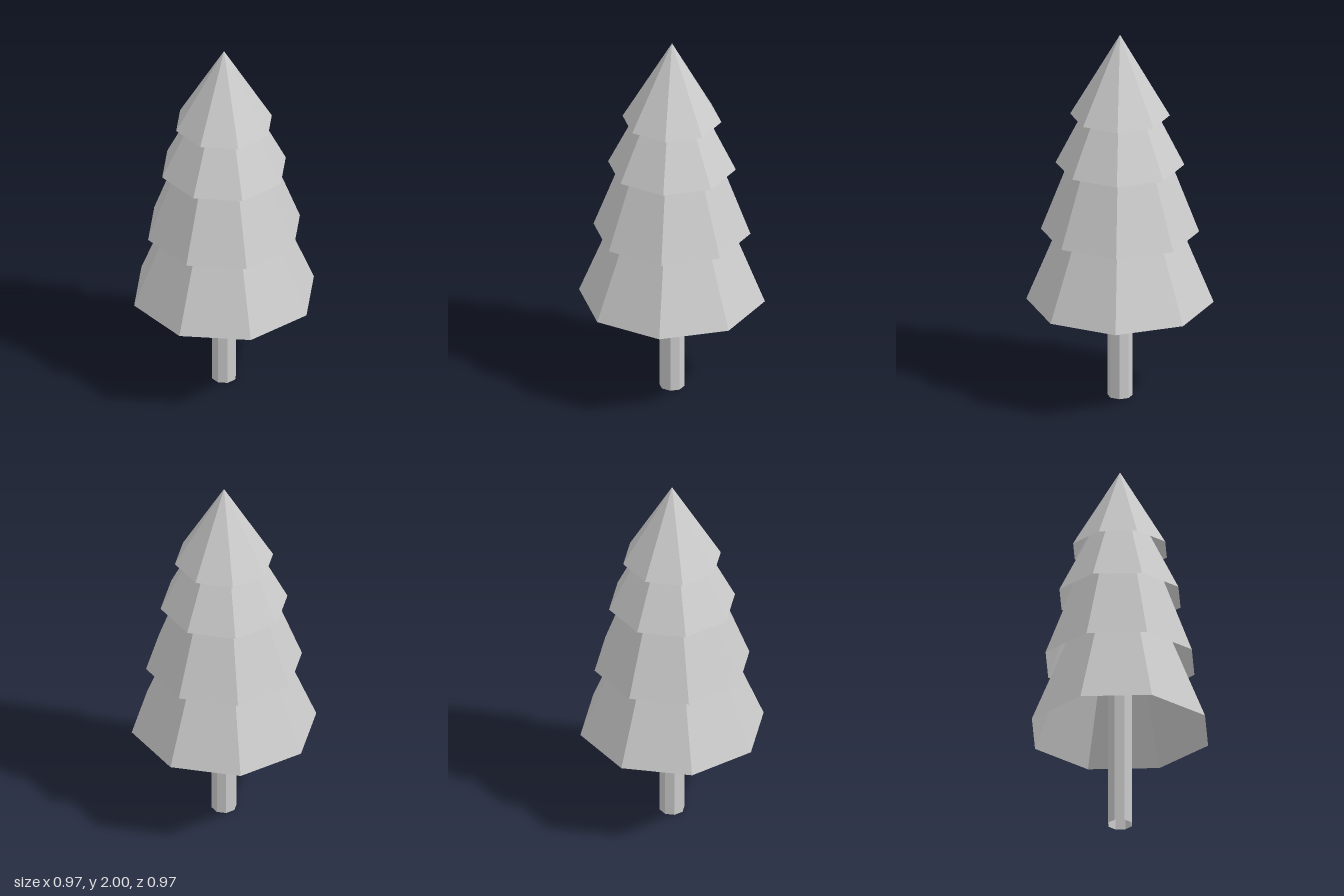
import * as THREE from 'three';

const SIDES = 8;

export function createModel() {
  const group = new THREE.Group();
  const material = new THREE.MeshStandardMaterial({
    color: 0xcccccc,
    flatShading: true,
    side: THREE.DoubleSide,
  });

  // Open eight-sided solid standing on the height "bottom"
  function addPart(name, topRadius, bottomRadius, bottom, top) {
    const height = top - bottom;
    const geometry = new THREE.CylinderGeometry(topRadius, bottomRadius, height, SIDES, 1, true);
    const mesh = new THREE.Mesh(geometry, material);
    mesh.name = name;
    mesh.position.y = bottom + height / 2;
    group.add(mesh);
  }

  // Trunk, reaching up inside the lowest tier
  addPart('trunk', 0.065, 0.065, 0, 0.92);

  // Hollow foliage cones, lowest first: [rim radius, rim height, tip height]
  const tiers = [
    [0.483, 0.525, 1.71],
    [0.408, 0.915, 1.99],
    [0.332, 1.285, 1.95],
    [0.257, 1.557, 2.0],
  ];
  tiers.forEach(([radius, bottom, tip], i) => {
    addPart(`foliageTier${i + 1}`, 0, radius, bottom, tip);
  });

  return group;
}
